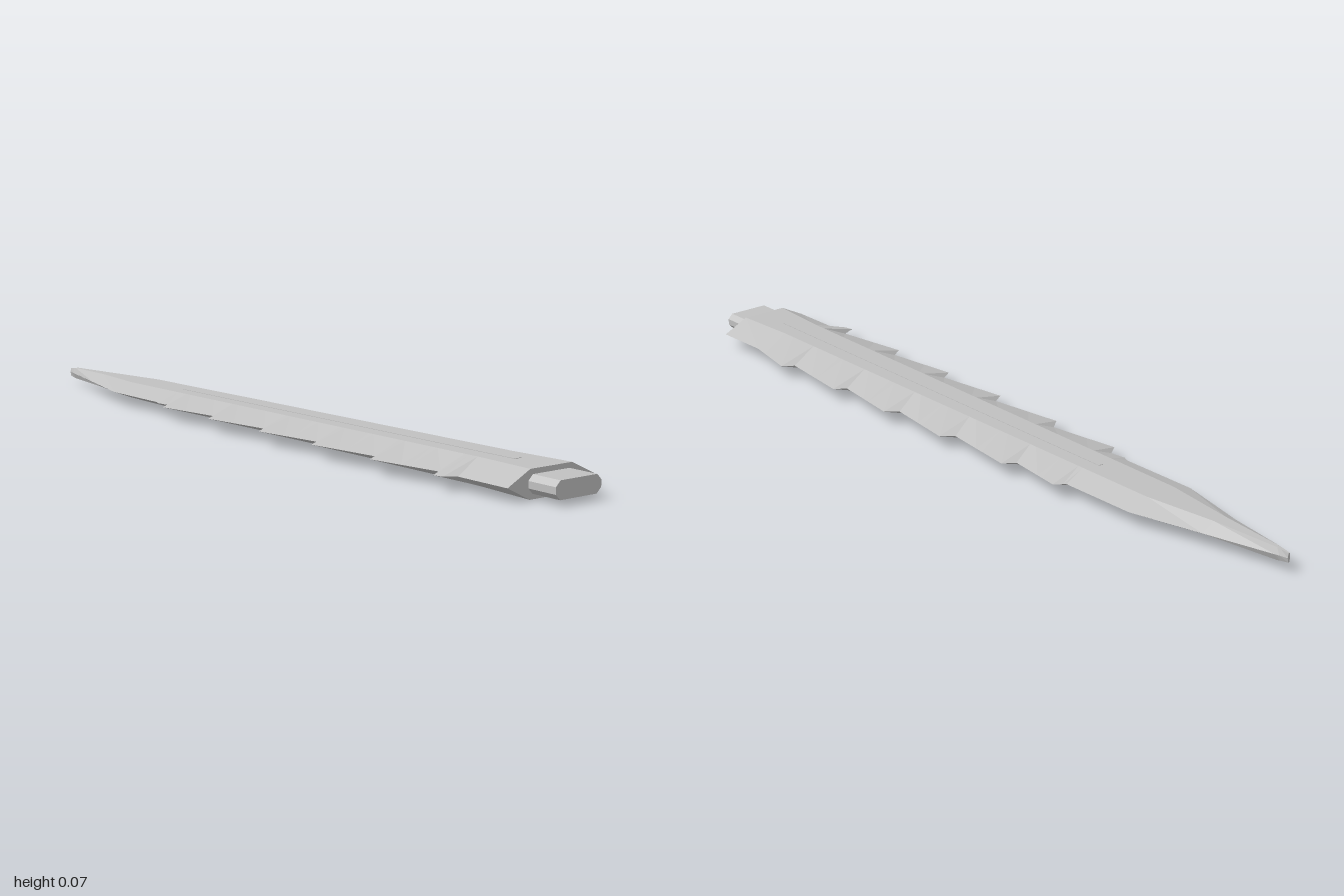
import * as THREE from 'three';

const MID = 0.037; // height of the cutting edges

// Edge outlines as [z, half width], from the base to the point
const leftEdge = [
  [0.92, 0.127], [0.77, 0.127], [0.75, 0.153], [0.725, 0.158], [0.71, 0.122],
  [0.51, 0.153], [0.49, 0.122], [0.295, 0.148], [0.275, 0.116], [0.085, 0.143],
  [0.065, 0.111], [-0.13, 0.138], [-0.155, 0.106], [-0.34, 0.132], [-0.36, 0.102],
  [-0.4, 0.107], [-0.415, 0.1], [-0.62, 0.099], [-0.98, 0.008], [-1, 0.004],
];
const rightEdge = [
  [0.92, 0.131], [0.77, 0.128], [0.62, 0.157], [0.6, 0.128], [0.4, 0.151],
  [0.38, 0.122], [0.195, 0.147], [0.17, 0.117], [-0.015, 0.142], [-0.04, 0.112],
  [-0.235, 0.136], [-0.255, 0.106], [-0.4, 0.125], [-0.42, 0.1], [-0.62, 0.098],
  [-0.98, 0.008], [-1, 0.004],
];
// Flat half width and half thickness along the blade
const flatWidth = [[0.92, 0.062], [0.75, 0.052], [-0.62, 0.042], [-0.8, 0.018], [-1, 0.002]];
const thickness = [[0.92, 0.033], [-0.62, 0.021], [-0.8, 0.019], [-0.97, 0.015], [-1, 0.011]];

// Linear interpolation in a list sorted by falling z
function at(list, z) {
  for (let i = 1; i < list.length; i++) {
    const [z0, v0] = list[i - 1], [z1, v1] = list[i];
    if (z >= z1) return v0 + (v1 - v0) * (z0 - z) / (z0 - z1);
  }
  return list[list.length - 1][1];
}

// Skin over anticlockwise rings running towards -z, with both ends capped
function loft(rings) {
  const pos = [];
  const tri = (...pts) => pts.forEach((p) => pos.push(...p));
  const n = rings[0].length;
  for (let i = 0; i + 1 < rings.length; i++) {
    for (let j = 0; j < n; j++) {
      const k = (j + 1) % n, a = rings[i], b = rings[i + 1];
      tri(a[j], b[j], a[k]);
      tri(a[k], b[j], b[k]);
    }
  }
  const first = rings[0], last = rings[rings.length - 1];
  for (let j = 1; j + 1 < n; j++) {
    tri(first[0], first[j], first[j + 1]);
    tri(last[0], last[j + 1], last[j]);
  }
  const g = new THREE.BufferGeometry();
  g.setAttribute('position', new THREE.Float32BufferAttribute(pos, 3));
  g.computeVertexNormals();
  return g;
}

export function createModel() {
  const group = new THREE.Group();
  const steel = new THREE.MeshStandardMaterial({ color: 0xc0c0c0, flatShading: true });
  steel.name = 'steel';
  const add = (name, geometry) => {
    const mesh = new THREE.Mesh(geometry, steel);
    mesh.name = name;
    group.add(mesh);
  };

  // Barbed blade: six-sided sections at every corner of either edge
  const stations = [...new Set([...leftEdge, ...rightEdge, ...flatWidth, ...thickness].map((p) => p[0]))]
    .sort((a, b) => b - a);
  add('blade', loft(stations.map((z) => {
    const l = at(leftEdge, z), r = at(rightEdge, z), h = at(thickness, z);
    const f = Math.min(at(flatWidth, z), l * 0.9, r * 0.9);
    return [[-l, MID, z], [-f, MID - h, z], [f, MID - h, z], [r, MID, z], [f, MID + h, z], [-f, MID + h, z]];
  })));

  // Narrow centre rib on both faces, following the taper
  for (const [name, s] of [['upperRib', 1], ['lowerRib', -1]]) {
    add(name, loft([[0.82, 0.01], [-0.43, 0.007]].map(([z, w]) => {
      const h = at(thickness, z);
      const y0 = MID + s * h - 0.001, y1 = MID + s * h + 0.001;
      return [[-w, y0, z], [w, y0, z], [w, y1, z], [-w, y1, z]];
    })));
  }

  // Tang with chamfered corners
  const w = 0.067, h = 0.021, c = 0.013;
  add('tang', loft([1, 0.9].map((z) => [
    [-w, -h + c], [-w + c, -h], [w - c, -h], [w, -h + c],
    [w, h - c], [w - c, h], [-w + c, h], [-w, h - c],
  ].map(([x, y]) => [x, MID + y, z]))));

  return group;
}
